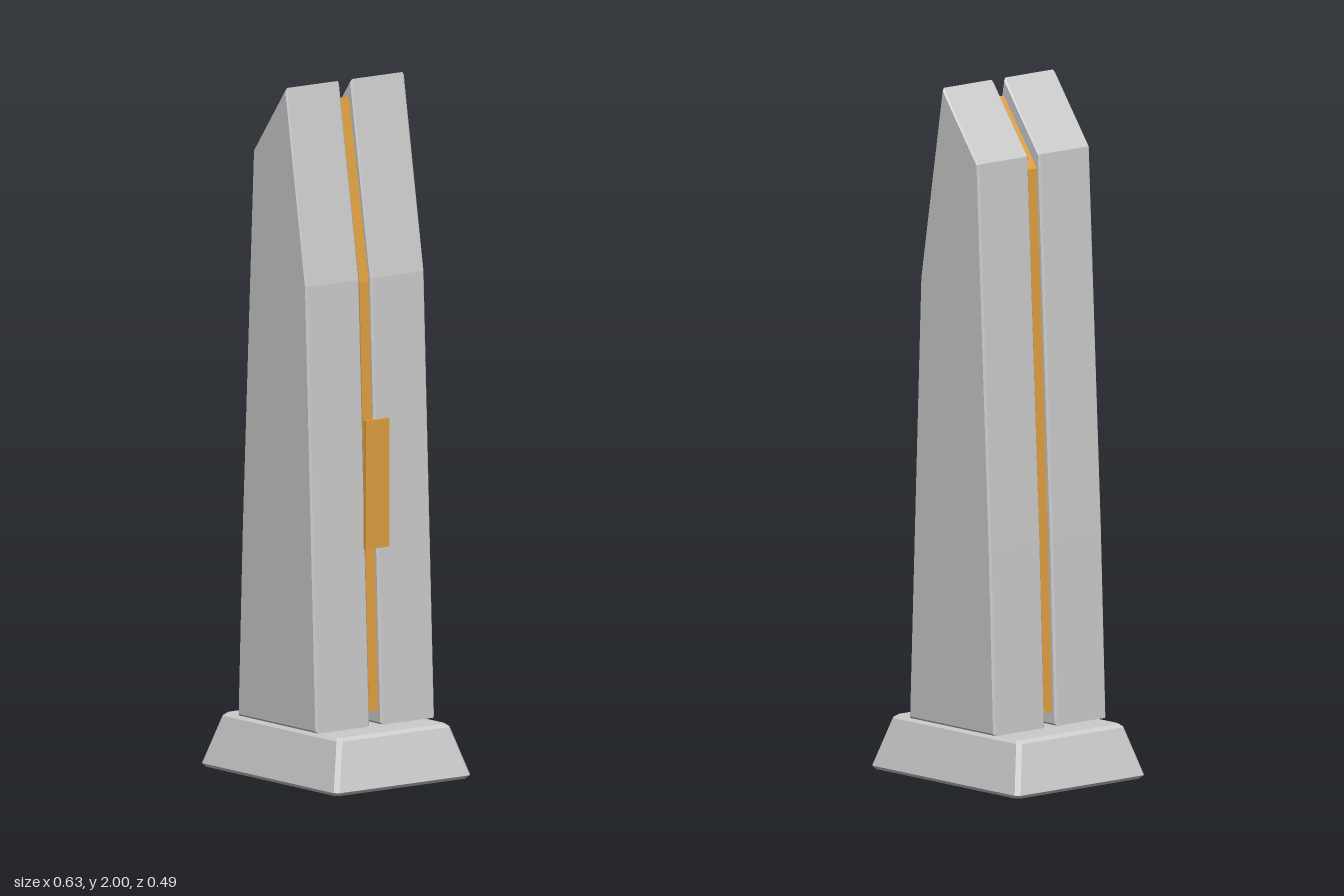
import * as THREE from 'three';

const grey = new THREE.MeshStandardMaterial({ color: 0xcccccc, flatShading: true });
const gold = new THREE.MeshStandardMaterial({ color: 0xe0a040, flatShading: true });

function add(group, name, geometry, material, x = 0, y = 0, z = 0) {
  const mesh = new THREE.Mesh(geometry, material);
  mesh.name = name;
  mesh.position.set(x, y, z);
  group.add(mesh);
}

// Extrudes an outline from z = 0 to z = depth, with an optional inset bevel
function slab(points, depth, bevel = 0) {
  const shape = new THREE.Shape(points.map(([x, y]) => new THREE.Vector2(x, y)));
  const geometry = new THREE.ExtrudeGeometry(shape, {
    depth: depth - 2 * bevel, bevelEnabled: bevel > 0, bevelSize: bevel,
    bevelThickness: bevel, bevelOffset: -bevel, bevelSegments: 1,
  });
  return geometry.translate(0, 0, bevel);
}

// Stacks rectangular sections with cut corners: [y, half width, half depth]
function chamferedBlock(sections, cut) {
  const positions = [], index = [], n = 8;
  for (const [y, w, d] of sections) {
    const ring = [[w, d - cut], [w - cut, d], [cut - w, d], [-w, d - cut],
      [-w, cut - d], [cut - w, -d], [w - cut, -d], [w, cut - d]];
    for (const [x, z] of ring) positions.push(x, y, z);
  }
  for (let s = 0; s < sections.length - 1; s++) {
    for (let i = 0; i < n; i++) {
      const a = s * n + i, b = s * n + (i + 1) % n;
      index.push(a, a + n, b, b, a + n, b + n);
    }
  }
  const top = (sections.length - 1) * n;
  for (let i = 1; i < n - 1; i++) {
    index.push(0, i, i + 1, top, top + i + 1, top + i);
  }
  const geometry = new THREE.BufferGeometry();
  geometry.setAttribute('position', new THREE.Float32BufferAttribute(positions, 3));
  geometry.setIndex(index);
  geometry.computeVertexNormals();
  return geometry;
}

export function createModel() {
  const group = new THREE.Group();

  // Tapered plinth with softened edges
  add(group, 'base', chamferedBlock([
    [0, 0.307, 0.237], [0.01, 0.316, 0.245], [0.148, 0.275, 0.203], [0.157, 0.263, 0.192],
  ], 0.012), grey);

  // Two matching tower halves with a narrow gap between them
  const outline = [[-0.183, 0.16], [0.183, 0.16], [0.135, 1.44], [0.04, 2], [-0.112, 1.8], [-0.164, 0.7]];
  const half = slab(outline, 0.193, 0.006);
  add(group, 'frontTowerHalf', half, grey, 0, 0, 0.019);
  add(group, 'backTowerHalf', half, grey, 0, 0, -0.214);

  // Gold core filling the gap, set slightly inside the tower outline
  const core = [[-0.171, 0.2], [0.171, 0.2], [0.127, 1.43], [0.035, 1.95], [-0.106, 1.76], [-0.154, 0.7]];
  add(group, 'goldCore', slab(core, 0.034), gold, 0, 0, -0.019);

  // Upright plaque on the left side
  add(group, 'sidePlaque', new THREE.BoxGeometry(0.011, 0.37, 0.085), gold, 0.186, 0.858, -0.001);

  return group;
}
